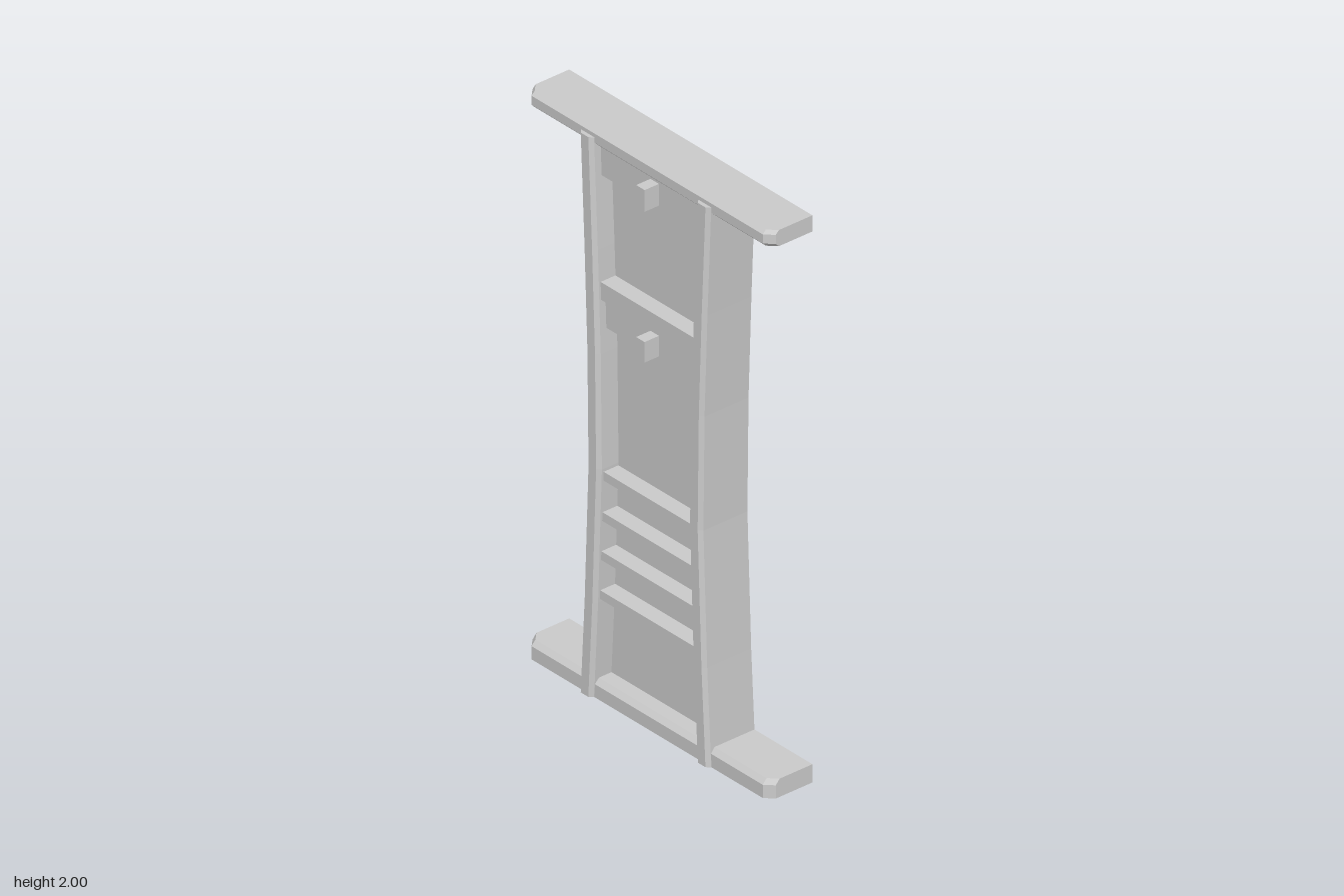
import * as THREE from 'three';

const BACK = -0.1;

// Outer half-width of the waisted frame: [height, half-width]
const WAIST = [[0.07, 0.292], [0.4, 0.274], [0.86, 0.257], [1.25, 0.262], [1.6, 0.275], [1.975, 0.292]];
const PILLAR_HALF = 0.029;

function halfWidth(y) {
  for (let i = 1; i < WAIST.length; i++) {
    const [y0, w0] = WAIST[i - 1], [y1, w1] = WAIST[i];
    if (y <= y1) return w0 + (w1 - w0) * (y - y0) / (y1 - y0);
  }
  return WAIST[WAIST.length - 1][1];
}

// Skin open cross-sections, left to right round the front, stacked upwards; the back stays open
function loft(rings, capped = true) {
  const pos = [];
  const tri = (...pts) => pts.forEach((p) => pos.push(...p));
  for (let i = 0; i + 1 < rings.length; i++) {
    const lo = rings[i], hi = rings[i + 1];
    for (let j = 0; j + 1 < lo.length; j++) {
      tri(lo[j], lo[j + 1], hi[j + 1]);
      tri(lo[j], hi[j + 1], hi[j]);
    }
  }
  if (capped) {
    const bottom = rings[0], top = rings[rings.length - 1];
    for (let j = 1; j + 1 < top.length; j++) {
      tri(top[0], top[j], top[j + 1]);
      tri(bottom[0], bottom[j + 1], bottom[j]);
    }
  }
  const g = new THREE.BufferGeometry();
  g.setAttribute('position', new THREE.Float32BufferAttribute(pos, 3));
  g.computeVertexNormals();
  return g;
}

const rectRing = (x0, x1, y, front, back = BACK) =>
  [[x0, y, back], [x0, y, front], [x1, y, front], [x1, y, back]];

// Crossbar outline with cut front corners, drawn in by inset at the front
function barRing(y, inset) {
  const w = 0.546, f = 0.068 - inset, c = 0.027;
  return [[-w, y, BACK], [-w, y, f - c], [-w + c, y, f], [w - c, y, f], [w, y, f - c], [w, y, BACK]];
}

export function createModel() {
  const model = new THREE.Group();
  model.name = 'waistedFrame';
  const grey = new THREE.MeshStandardMaterial({ color: 0xcccccc, side: THREE.DoubleSide });
  grey.name = 'light grey';

  const add = (name, geometry) => {
    const mesh = new THREE.Mesh(geometry, grey);
    mesh.name = name;
    model.add(mesh);
  };

  // Long crossbars with bevelled front edges
  add('topBar', loft([barRing(1.945, 0.012), barRing(1.957, 0), barRing(1.988, 0), barRing(2, 0.012)]));
  add('bottomBar', loft([barRing(0.07, 0), barRing(0.115, 0), barRing(0.132, 0.015)]));

  // Foot, its front sloping back towards the ground
  add('foot', loft([rectRing(-0.23, 0.23, 0, -0.025), rectRing(-0.23, 0.23, 0.07, 0.02)]));

  // Curved side pillars with bevelled front edges
  for (const side of [-1, 1]) {
    const rings = WAIST.map(([y, w]) => {
      const x = side * (w - PILLAR_HALF) - 0.003, h = PILLAR_HALF, c = 0.012;
      return [[x - h, y, BACK], [x - h, y, 0.069], [x - h + c, y, 0.081],
        [x + h - c, y, 0.081], [x + h, y, 0.069], [x + h, y, BACK]];
    });
    add(side < 0 ? 'rightPillar' : 'leftPillar', loft(rings));
  }

  // Horizontal rungs: four thin ones and one thicker shelf
  const rungs = [[0.41, 0.44], [0.545, 0.575], [0.68, 0.71], [0.82, 0.85], [1.43, 1.49]];
  for (const [y0, y1] of rungs) {
    const w = halfWidth(y0) - 0.045;
    add('rung', loft([rectRing(-w, w, y0, 0.062), rectRing(-w, w, y1, 0.062)]));
  }

  // Recessed panels between the rungs; the two hook panels stand further forward
  const recess = 0.005, raised = 0.045;
  const row = (y, z) => {
    const w = halfWidth(y) - 2 * PILLAR_HALF + 0.003;
    return [[-w, y, z], [w, y, z]];
  };
  const panels = [[0.1, 0.41, recess], [0.44, 0.545, recess], [0.575, 0.68, recess], [0.71, 0.82, recess],
    [0.85, 1.33, recess], [1.33, 1.43, raised], [1.49, 1.84, recess], [1.84, 1.95, raised]];
  for (const [y0, y1, z] of panels) {
    const knots = WAIST.map((k) => k[0]).filter((y) => y > y0 && y < y1);
    const rows = [y0, ...knots, y1].map((y) => row(y, z));
    if (z === raised) rows.unshift(row(y0, recess)); // ledge under the raised panel
    add(z === raised ? 'hookPanel' : 'backPanel', loft(rows, false));
  }

  // Small hooks on the raised panels
  for (const [y0, y1] of [[1.34, 1.41], [1.853, 1.927]]) {
    add('hook', loft([y0, y1].map((y) => rectRing(-0.012, 0.026, y, 0.1, 0.03))));
  }

  return model;
}
